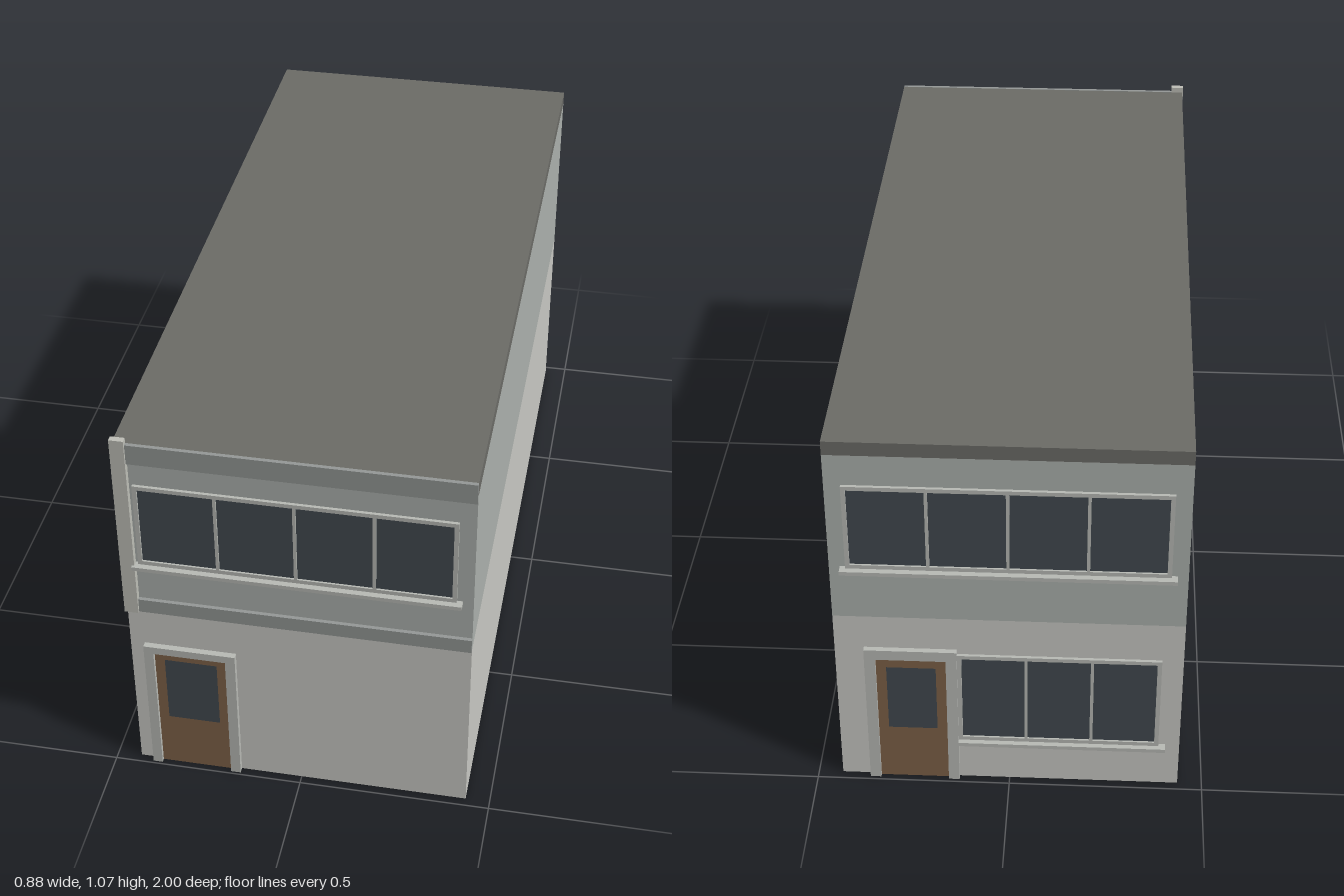
import * as THREE from 'three';

const mat = (color) => new THREE.MeshStandardMaterial({ color, side: THREE.DoubleSide });

export function createModel() {
  const lower = mat(0xcacac5), upper = mat(0xadb2ae), trim = mat(0x959997);
  const roofing = mat(0x6c6c67), frameMat = mat(0xb9bbb6), pierMat = mat(0xbfc0b8);
  const glass = mat(0x424a51), wood = mat(0x7f6248);
  const W = 0.437, D = 0.977; // half width and half depth of the walls

  const model = new THREE.Group();
  model.name = 'terracedHouse';

  // Box given by its limits on each axis
  const box = (parent, name, m, x0, x1, y0, y1, z0, z1) => {
    const mesh = new THREE.Mesh(new THREE.BoxGeometry(x1 - x0, y1 - y0, z1 - z0), m);
    mesh.position.set((x0 + x1) / 2, (y0 + y1) / 2, (z0 + z1) / 2);
    mesh.name = name;
    parent.add(mesh);
  };

  // Flat pane facing +z
  const pane = (parent, name, m, x0, x1, y0, y1, z) => {
    const mesh = new THREE.Mesh(new THREE.PlaneGeometry(x1 - x0, y1 - y0), m);
    mesh.position.set((x0 + x1) / 2, (y0 + y1) / 2, z);
    mesh.name = name;
    parent.add(mesh);
  };

  const rect = (P, x0, x1, y0, y1) => {
    const p = new P();
    p.moveTo(x0, y0);
    p.lineTo(x1, y0);
    p.lineTo(x1, y1);
    p.lineTo(x0, y1);
    p.closePath();
    return p;
  };

  // Frame with rectangular openings, standing out from the wall plane z = 0
  const frame = (parent, name, outline, holes, depth) => {
    const shape = rect(THREE.Shape, ...outline);
    holes.forEach((h) => shape.holes.push(rect(THREE.Path, ...h)));
    const mesh = new THREE.Mesh(new THREE.ExtrudeGeometry(shape, { depth, bevelEnabled: false }), frameMat);
    mesh.name = name;
    parent.add(mesh);
  };

  // Row of panes in a frame, with a projecting sill
  const windowRow = (parent, name, x0, x1, y0, y1, count, sill, sillDepth) => {
    const g = new THREE.Group();
    g.name = name;
    const edge = 0.011, bar = 0.008;
    const w = (x1 - x0 - 2 * edge - (count - 1) * bar) / count;
    const holes = [];
    for (let i = 0; i < count; i++) {
      const x = x0 + edge + i * (w + bar);
      holes.push([x, x + w, y0 + edge, y1 - edge]);
      pane(g, 'windowPane', glass, ...holes[i], 0.003);
    }
    frame(g, 'windowFrame', [x0, x1, y0, y1], holes, 0.008);
    box(g, 'windowSill', frameMat, sill[0], sill[1], y0 - 0.011, y0, 0, sillDepth);
    parent.add(g);
  };

  // Glazed door in a surround open at the foot
  const door = (parent, name, outer, leaf, light, depth) => {
    const g = new THREE.Group();
    g.name = name;
    const [x0, x1, top] = outer, [a, b, leafTop] = leaf;
    box(g, 'doorJamb', frameMat, x0, a, 0, top, 0, depth);
    box(g, 'doorJamb', frameMat, b, x1, 0, top, 0, depth);
    box(g, 'doorHead', frameMat, a, b, leafTop, top, 0, depth);
    box(g, 'doorLeaf', wood, a, b, 0, leafTop, 0, 0.005);
    pane(g, 'doorGlass', glass, ...light, 0.0065);
    parent.add(g);
  };

  // Four thin walls of a storey, open above and below
  const storey = (name, m, y0, y1) => {
    const g = new THREE.Group();
    g.name = name;
    for (let i = 0; i < 4; i++) {
      const half = i % 2 ? D : W, out = i % 2 ? W : D;
      const side = new THREE.Group();
      side.rotation.y = (i * Math.PI) / 2;
      pane(side, 'wall', m, -half, half, y0, y1, out);
      g.add(side);
    }
    model.add(g);
  };
  storey('lowerWalls', lower, 0, 0.53);
  storey('upperWalls', upper, 0.53, 1.017);
  box(model, 'roof', roofing, -W, W, 1.017, 1.055, -D, D);

  // Front face
  const front = new THREE.Group();
  front.name = 'frontFace';
  front.position.z = D;
  box(front, 'parapetBand', trim, -0.404, W, 1.0, 1.056, 0, 0.01);
  box(front, 'floorBand', trim, -0.404, W, 0.53, 0.57, 0, 0.01);
  box(front, 'cornerPier', pierMat, -0.44, -0.404, 0.53, 1.071, 0, 0.016);
  windowRow(front, 'frontWindow', -0.396, 0.396, 0.687, 0.932, 4, [-0.41, 0.41], 0.023);
  door(front, 'frontDoor', [-0.4, -0.162, 0.416], [-0.375, -0.188, 0.394],
    [-0.349, -0.213, 0.167, 0.369], 0.016);
  model.add(front);

  // Back face, turned round so that its own left is -x
  const back = new THREE.Group();
  back.name = 'backFace';
  back.position.z = -D;
  back.rotation.y = Math.PI;
  windowRow(back, 'backUpperWindow', -0.396, 0.396, 0.687, 0.932, 4, [-0.41, 0.41], 0.023);
  windowRow(back, 'backLowerWindow', -0.13, 0.383, 0.135, 0.418, 3, [-0.13, 0.4], 0.021);
  door(back, 'backDoor', [-0.363, -0.13, 0.432], [-0.335, -0.158, 0.402],
    [-0.309, -0.184, 0.17, 0.372], 0.014);
  model.add(back);

  return model;
}
